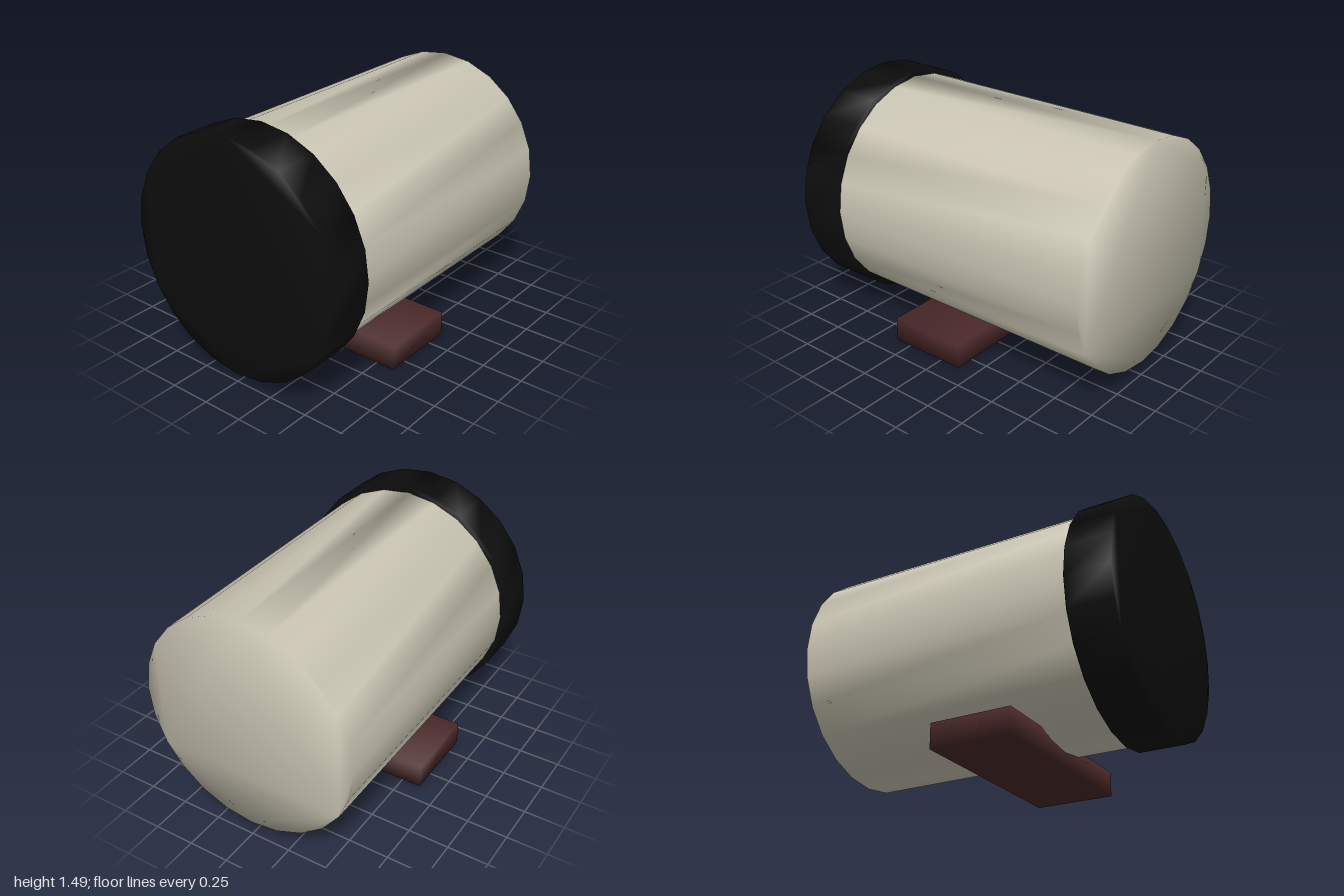
import * as THREE from 'three';
import { mergeVertices } from 'three/addons/utils/BufferGeometryUtils.js';

const AXIS_Y = 0.768; // height of the cylinder axis
const SIDES = 24;

// Share corner vertices so shading runs smoothly over the edges
function smooth(geometry) {
  geometry.deleteAttribute('normal');
  geometry.deleteAttribute('uv');
  geometry.clearGroups();
  const merged = mergeVertices(geometry, 1e-4);
  merged.computeVertexNormals();
  return merged;
}

// Closed 24-sided drum lying along z
function drum(radius, zBack, zFront) {
  const points = [];
  for (let i = 0; i < SIDES; i++) {
    const a = (i / SIDES) * Math.PI * 2;
    points.push(new THREE.Vector2(Math.cos(a) * radius, Math.sin(a) * radius));
  }
  const geometry = new THREE.ExtrudeGeometry(new THREE.Shape(points), {
    depth: zFront - zBack, bevelEnabled: false, steps: 1,
  });
  geometry.translate(0, AXIS_Y, zBack);
  return smooth(geometry);
}

export function createModel() {
  const model = new THREE.Group();
  const cream = new THREE.MeshStandardMaterial({ name: 'cream', color: 0xc9c4b2 });
  const black = new THREE.MeshStandardMaterial({ name: 'black', color: 0x0d0d0d });
  const brown = new THREE.MeshStandardMaterial({ name: 'dark brown', color: 0x4a2828 });

  const add = (name, geometry, material) => {
    const mesh = new THREE.Mesh(geometry, material);
    mesh.name = name;
    model.add(mesh);
  };

  // Long body and the wider lid over its front end
  add('body', drum(0.68, -1, 0.73), cream);
  add('frontLid', drum(0.717, 0.73, 1), black);

  // Cross block that carries the body
  const block = new THREE.BoxGeometry(1.234, 0.15, 0.495);
  block.translate(0, 0.075, 0.1125);
  add('supportBlock', smooth(block), brown);

  return model;
}
